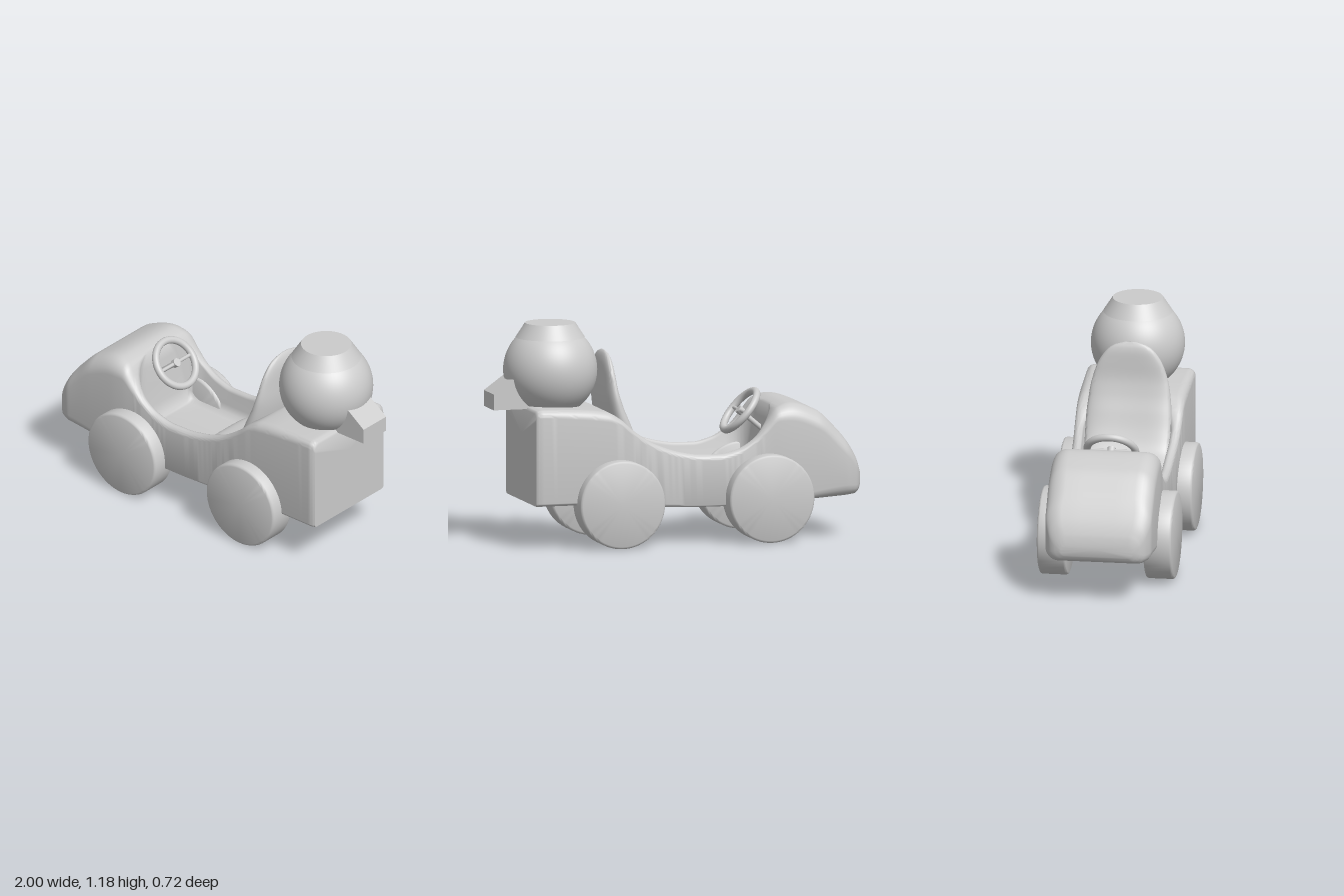
import * as THREE from 'three';
import { toCreasedNormals } from 'three/addons/utils/BufferGeometryUtils.js';

const mat = new THREE.MeshStandardMaterial({ color: 0xcccccc, side: THREE.DoubleSide });

// Smooth (Hermite) interpolation through [x, value] knots
function smooth(k, x) {
  const n = k.length - 1;
  if (x <= k[0][0]) return k[0][1];
  if (x >= k[n][0]) return k[n][1];
  let i = 0;
  while (x > k[i + 1][0]) i++;
  const slope = (a, b) => (k[b][1] - k[a][1]) / (k[b][0] - k[a][0]);
  const tangent = (j) => {
    if (j === 0) return slope(0, 1);
    if (j === n) return slope(n - 1, n);
    const a = slope(j - 1, j), b = slope(j, j + 1);
    return a * b <= 0 ? 0 : (2 * a * b) / (a + b);
  };
  const h = k[i + 1][0] - k[i][0], t = (x - k[i][0]) / h, t2 = t * t, t3 = t2 * t;
  return (2 * t3 - 3 * t2 + 1) * k[i][1] + (t3 - 2 * t2 + t) * h * tangent(i)
    + (3 * t2 - 2 * t3) * k[i + 1][1] + (t3 - t2) * h * tangent(i + 1);
}

// Skin closed rings of Vector3 and close both ends
function loft(rings, crease) {
  const m = rings[0].length, last = (rings.length - 1) * m, idx = [];
  const pts = rings.flat();
  const centre = (r) => r.reduce((s, p) => s.add(p), new THREE.Vector3()).divideScalar(m);
  const c0 = pts.length, c1 = c0 + 1;
  pts.push(centre(rings[0]), centre(rings[rings.length - 1]));
  for (let j = 0; j < m; j++) {
    const k = (j + 1) % m;
    for (let i = 0; i < rings.length - 1; i++) {
      const a = i * m + j, b = i * m + k;
      idx.push(a, a + m, b, b, a + m, b + m);
    }
    idx.push(c0, j, k, c1, last + k, last + j);
  }
  const g = new THREE.BufferGeometry().setFromPoints(pts);
  g.setIndex(idx);
  return toCreasedNormals(g, crease);
}

// Body profiles along x
const TOP = [[-1, 0.33], [-0.99, 0.38], [-0.93, 0.5], [-0.85, 0.6], [-0.75, 0.69], [-0.6, 0.735], [-0.53, 0.715],
  [-0.46, 0.63], [-0.4, 0.56], [-0.3, 0.5], [-0.2, 0.478], [-0.1, 0.48], [0, 0.495], [0.15, 0.545],
  [0.27, 0.62], [0.35, 0.69], [0.42, 0.728], [0.55, 0.745], [0.79, 0.755], [0.81, 0.75], [0.82, 0.735]];
const BOTTOM = [[-1, 0.275], [-0.985, 0.25], [-0.95, 0.232], [-0.75, 0.22], [-0.2, 0.2], [0.1, 0.21], [0.3, 0.238], [0.82, 0.24]];
const WIDTH = [[-1, 0.19], [-0.99, 0.225], [-0.96, 0.262], [-0.9, 0.285], [-0.6, 0.287], [-0.4, 0.278],
  [0, 0.276], [0.3, 0.286], [0.8, 0.29], [0.82, 0.28]];
const TOP_RADIUS = [[-1, 0.06], [-0.85, 0.1], [-0.6, 0.09], [-0.5, 0.06], [-0.38, 0.03], [0.28, 0.03], [0.45, 0.05], [0.82, 0.04]];
const BOTTOM_RADIUS = [[-1, 0.04], [-0.9, 0.06], [-0.6, 0.03], [0, 0.015], [0.82, 0.015]];

function bodyRing(x) {
  const t = smooth(TOP, x), b = smooth(BOTTOM, x), w = smooth(WIDTH, x);
  const rt = Math.min(smooth(TOP_RADIUS, x), 0.45 * (t - b));
  const rb = Math.min(smooth(BOTTOM_RADIUS, x), 0.45 * (t - b));
  // cockpit opening: depth and half width fade out at both ends
  const open = THREE.MathUtils.smoothstep(x, -0.53, -0.46) * (1 - THREE.MathUtils.smoothstep(x, 0.3, 0.39));
  const d = (t - 0.33) * open, lip = Math.min(0.018, d / 3), foot = Math.min(0.05, d / 3);
  const u = Math.min(1, Math.abs(x + 0.07) / 0.465);
  const wi = Math.max(0.07, Math.min(0.238 * Math.sqrt(1 - u ** 8), w - rt - 0.02));
  const half = [[0, b]];
  for (let i = 0; i <= 4; i++) {
    const a = (i / 4) * Math.PI / 2;
    half.push([w - rb + rb * Math.sin(a), b + rb - rb * Math.cos(a)]);
  }
  for (let i = 0; i <= 8; i++) {
    const a = (i / 8) * Math.PI / 2;
    half.push([w - rt + rt * Math.cos(a), t - rt + rt * Math.sin(a)]);
  }
  half.push([wi + 0.018, t], [wi + 0.005, t - lip * 0.3], [wi, t - lip], [wi, t - d + foot],
    [wi - 0.015, t - d + foot * 0.3], [wi - 0.05, t - d], [0, t - d]);
  const mirrored = half.slice(1, -1).reverse().map(([z, y]) => [-z, y]);
  return [...half, ...mirrored].map(([z, y]) => new THREE.Vector3(x, y, z));
}

function bodyGeometry() {
  const rings = [];
  for (let i = 0; i <= 120; i++) rings.push(bodyRing(-1 + 1.8 * (i / 120) ** 1.3));
  for (const x of [0.807, 0.814, 0.82]) rings.push(bodyRing(x));
  return loft(rings, 0.9);
}

// Bucket seat: rounded sections swept from the cushion front up the backrest
function seatGeometry() {
  const path = new THREE.CatmullRomCurve3([[-0.05, 0.385], [0.02, 0.395], [0.1, 0.405], [0.2, 0.45], [0.28, 0.55],
    [0.335, 0.67], [0.365, 0.8], [0.37, 0.92], [0.368, 1.03]].map(([x, y]) => new THREE.Vector3(x, y, 0)));
  const wide = [[0, 0.14], [0.02, 0.18], [0.07, 0.212], [0.2, 0.222], [0.5, 0.23], [0.7, 0.215], [0.85, 0.18],
    [0.95, 0.125], [0.985, 0.08], [1, 0.03]];
  const thick = [[0, 0.006], [0.02, 0.022], [0.06, 0.033], [0.3, 0.04], [0.55, 0.055], [0.68, 0.045], [0.8, 0.033],
    [0.93, 0.025], [0.98, 0.014], [1, 0.003]];
  const power = (v, e) => Math.sign(v) * Math.abs(v) ** e;
  const rings = [];
  for (let i = 0; i <= 60; i++) {
    const u = i / 60, p = path.getPointAt(u), t = path.getTangentAt(u);
    const w = smooth(wide, u), h = smooth(thick, u), ring = [];
    for (let j = 0; j < 40; j++) {
      const a = (j / 40) * Math.PI * 2, s = power(Math.sin(a), 0.7);
      const n = -h * power(Math.cos(a), 0.8) + 0.02 * s * s * Math.sin(u * Math.PI);
      ring.push(new THREE.Vector3(p.x - t.y * n, p.y + t.x * n, w * s));
    }
    rings.push(ring);
  }
  return loft(rings, 1.2);
}

export function createModel() {
  const model = new THREE.Group();
  const add = (name, geometry, parent = model) => {
    const mesh = new THREE.Mesh(geometry, mat);
    mesh.name = name;
    parent.add(mesh);
    return mesh;
  };

  add('body', bodyGeometry());
  add('seat', seatGeometry());

  // Wheels with softened edges
  const r = 0.235, e = 0.012;
  const outline = [[0, -0.075], [r - e, -0.075], [r - e * 0.3, -0.075 + e * 0.3], [r, -0.075 + e],
    [r, 0.075 - e], [r - e * 0.3, 0.075 - e * 0.3], [r - e, 0.075], [0, 0.075]];
  const wheel = toCreasedNormals(new THREE.LatheGeometry(outline.map(([x, y]) => new THREE.Vector2(x, y)), 64), 0.85);
  wheel.rotateX(Math.PI / 2);
  for (const [end, x] of [['front', -0.465], ['rear', 0.362]]) {
    for (const side of [1, -1]) {
      add(`${end}Wheel${side > 0 ? 'A' : 'B'}`, wheel).position.set(x, 0.24, 0.285 * side);
    }
  }

  // Round head on the rear deck, with a flat-topped cap and a wedge beak
  add('head', new THREE.SphereGeometry(0.25, 64, 40)).position.set(0.66, 0.935, 0);
  add('cap', new THREE.CylinderGeometry(0.134, 0.184, 0.077, 64)).position.set(0.66, 1.1475, 0);
  const beak = new THREE.Shape([[0.78, 0.74], [1, 0.74], [1, 0.825], [0.9, 0.897], [0.8, 0.95]]
    .map(([x, y]) => new THREE.Vector2(x, y)));
  add('beak', new THREE.ExtrudeGeometry(beak, { depth: 0.184, bevelEnabled: false })).position.z = -0.092;

  // Steering wheel, built around local y and tilted towards the seat
  const steering = new THREE.Group();
  steering.name = 'steeringWheel';
  steering.position.set(-0.392, 0.672, 0);
  steering.rotation.z = -0.87;
  model.add(steering);
  add('steeringRim', new THREE.TorusGeometry(0.13, 0.02, 16, 56).rotateX(Math.PI / 2), steering);
  add('steeringSpoke', new THREE.CylinderGeometry(0.01, 0.01, 0.26, 12).rotateX(Math.PI / 2), steering);
  add('steeringHub', new THREE.CylinderGeometry(0.022, 0.022, 0.03, 24), steering);
  add('steeringColumn', new THREE.CylinderGeometry(0.014, 0.014, 0.22, 16), steering).position.y = -0.11;

  return model;
}
